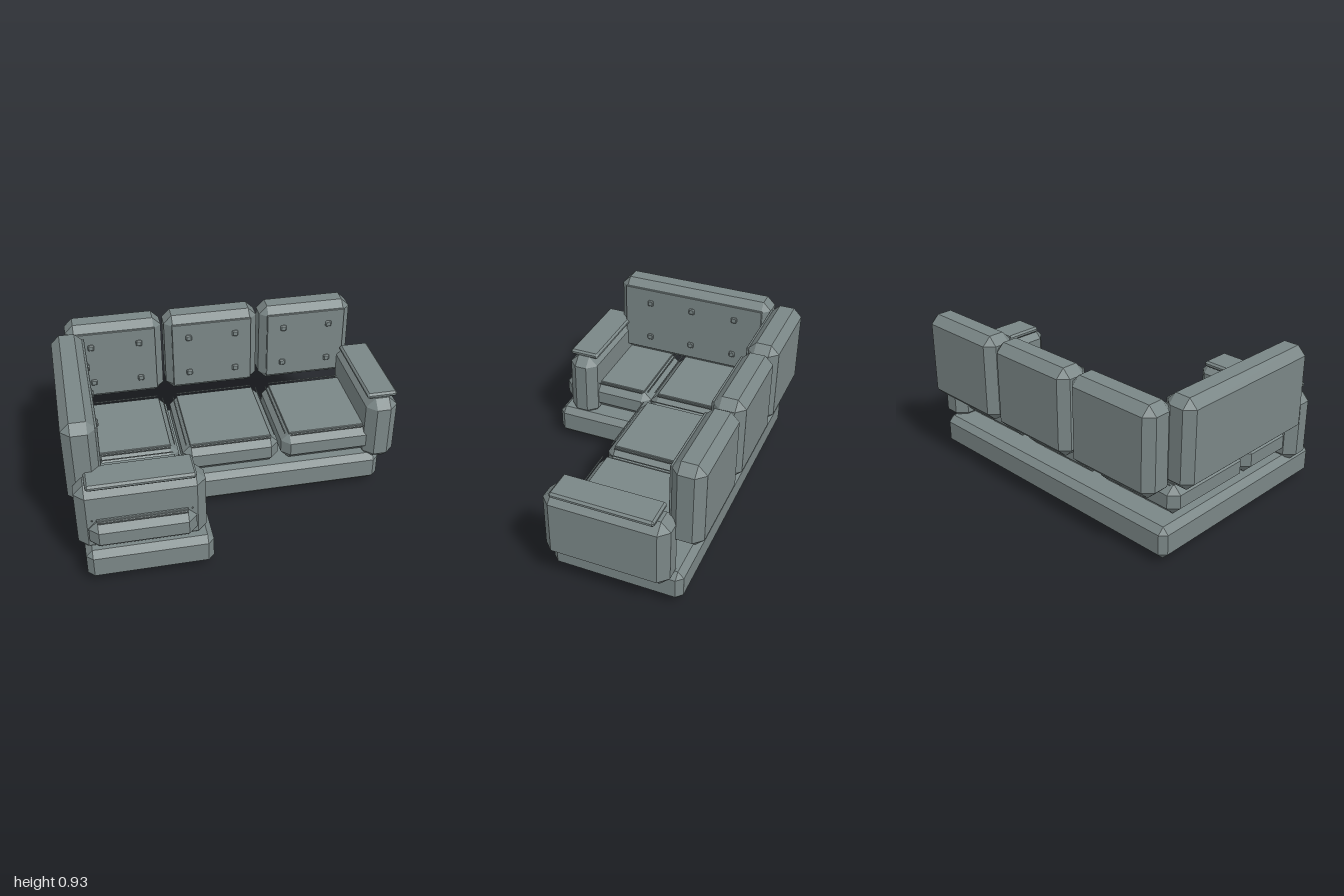
import * as THREE from 'three';
import { ConvexGeometry } from 'three/addons/geometries/ConvexGeometry.js';

const material = new THREE.MeshStandardMaterial({ color: 0x7a8686, flatShading: true });

// Box with flat chamfered edges and corners, given by its min/max ranges
function chamferBox(parent, name, [x0, x1], [y0, y1], [z0, z1], c) {
  const h = [(x1 - x0) / 2, (y1 - y0) / 2, (z1 - z0) / 2];
  const points = [];
  for (const sx of [-1, 1]) for (const sy of [-1, 1]) for (const sz of [-1, 1]) {
    for (let axis = 0; axis < 3; axis++) {
      const p = h.map((v, i) => (i === axis ? v : v - c));
      points.push(new THREE.Vector3(sx * p[0], sy * p[1], sz * p[2]));
    }
  }
  const mesh = new THREE.Mesh(new ConvexGeometry(points), material);
  mesh.position.set((x0 + x1) / 2, (y0 + y1) / 2, (z0 + z1) / 2);
  mesh.name = name;
  parent.add(mesh);
}

const around = (centre, size) => [centre - size / 2, centre + size / 2];

// Upright cushion facing +z, with a raised panel and tufting buttons
function addBackCushion(parent, name, width, buttonXs) {
  const cushion = new THREE.Group();
  cushion.name = name;
  chamferBox(cushion, 'backBody', around(0, width), [0.41, 0.932], [-0.19, 0], 0.05);
  chamferBox(cushion, 'backPanel', around(0, width - 0.085), [0.453, 0.89], [-0.01, 0.006], 0.003);
  for (const x of buttonXs) for (const y of [0.547, 0.797]) {
    chamferBox(cushion, 'tuftButton', around(x, 0.038), around(y, 0.038), [-0.01, 0.018], 0.006);
  }
  parent.add(cushion);
  return cushion;
}

// Seat cushion with a raised top panel and a thin piping frame
function addSeat(parent, name, [x0, x1], [z0, z1]) {
  const seat = new THREE.Group();
  seat.name = name;
  chamferBox(seat, 'seatBody', [x0, x1], [0.225, 0.405], [z0, z1], 0.05);
  chamferBox(seat, 'seatPanel', [x0 + 0.045, x1 - 0.045], [0.395, 0.411], [z0 + 0.045, z1 - 0.045], 0.003);
  const inset = 0.022, r = 0.007;
  for (const x of [x0 + inset, x1 - inset]) {
    chamferBox(seat, 'piping', around(x, r), around(0.408, r), [z0 + 0.05, z1 - 0.05], 0.002);
  }
  for (const z of [z0 + inset, z1 - inset]) {
    chamferBox(seat, 'piping', [x0 + 0.05, x1 - 0.05], around(0.408, r), around(z, r), 0.002);
  }
  parent.add(seat);
}

export function createModel() {
  const sofa = new THREE.Group();
  sofa.name = 'sectionalSofa';

  // L-shaped plinth: main run and chaise
  chamferBox(sofa, 'mainBase', [-0.941, 0.905], [0.028, 0.22], [-0.61, 0.162], 0.036);
  chamferBox(sofa, 'chaiseBase', [-0.941, -0.231], [0.028, 0.22], [-0.4, 0.697], 0.036);

  // Feet under the main run and the chaise
  const feet = [
    [0.755, -0.505], [0.755, 0.042], [-0.018, -0.505], [-0.018, 0.042], [-0.8, -0.505],
    [-0.8, 0.068], [-0.345, 0.068], [-0.8, 0.518], [-0.345, 0.518],
  ];
  for (const [x, z] of feet) {
    chamferBox(sofa, 'foot', around(x, 0.105), [0, 0.055], around(z, 0.105), 0.018);
  }

  // Three back cushions along the rear
  for (const x of [-0.62, -0.016, 0.589]) {
    addBackCushion(sofa, 'backCushion', 0.585, [-0.147, 0.147]).position.set(x, 0, -0.51);
  }

  // Long side back along the chaise, turned to face inwards
  const sideBack = addBackCushion(sofa, 'sideBackCushion', 1.01, [-0.286, 0, 0.286]);
  sideBack.rotation.y = Math.PI / 2;
  sideBack.position.set(-0.81, 0, 0);

  // Seat cushions
  addSeat(sofa, 'cornerSeat', [-0.911, -0.329], [-0.5, 0.1]);
  addSeat(sofa, 'middleSeat', [-0.307, 0.275], [-0.5, 0.125]);
  addSeat(sofa, 'endSeat', [0.296, 0.878], [-0.5, 0.125]);
  addSeat(sofa, 'chaiseSeat', [-0.911, -0.32], [0.1, 0.69]);

  // Armrests with thin top pads
  chamferBox(sofa, 'sideArm', [0.807, 1.0], [0.178, 0.61], [-0.56, 0.166], 0.055);
  chamferBox(sofa, 'sideArmPad', [0.815, 1.0], [0.602, 0.638], [-0.487, 0.105], 0.012);
  chamferBox(sofa, 'chaiseArm', [-0.972, -0.257], [0.178, 0.61], [0.448, 0.632], 0.055);
  chamferBox(sofa, 'chaiseArmPad', [-0.908, -0.311], [0.602, 0.638], [0.445, 0.633], 0.012);

  return sofa;
}
